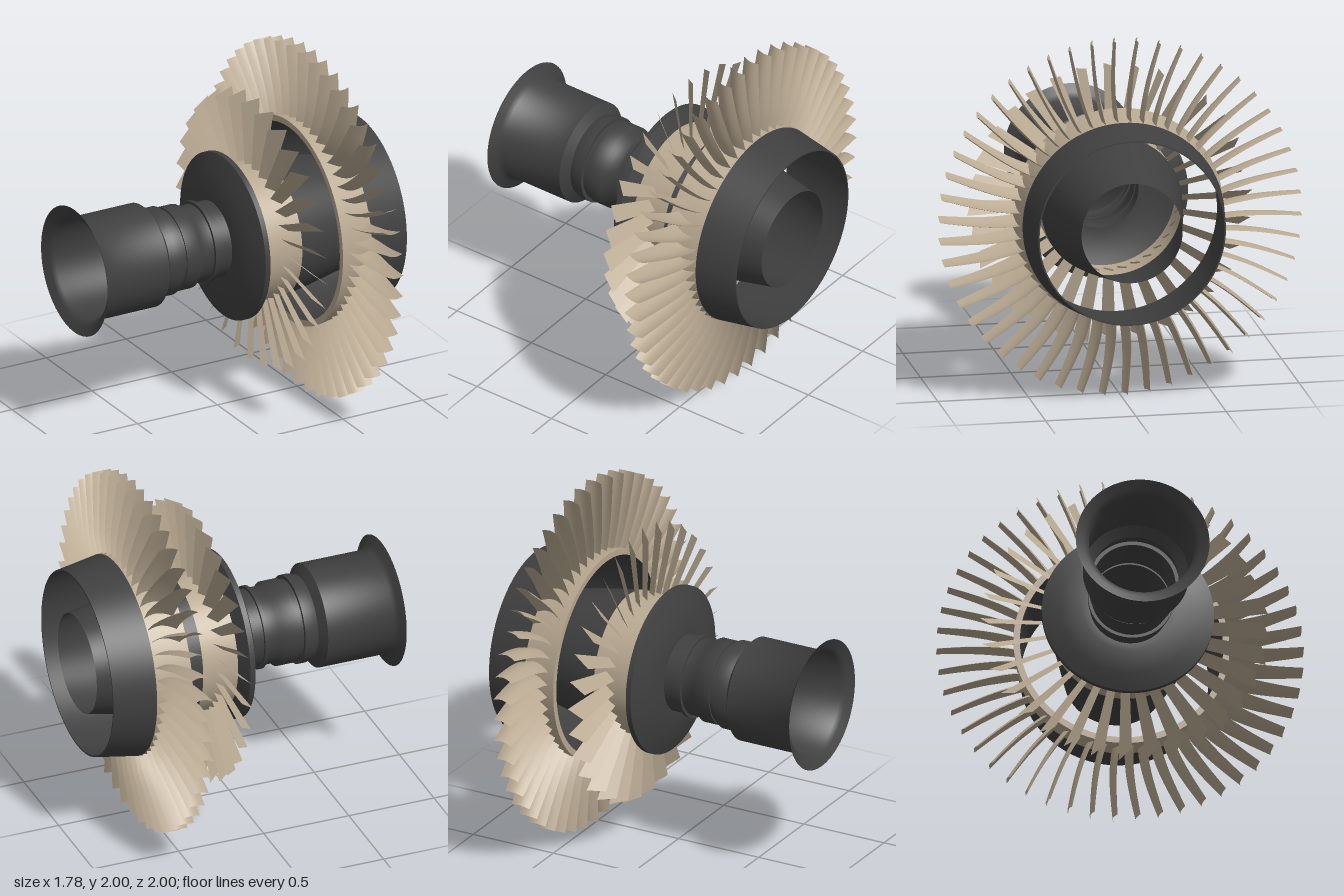
import * as THREE from 'three';
import { toCreasedNormals } from 'three/addons/utils/BufferGeometryUtils.js';

const dark = new THREE.MeshStandardMaterial({ color: 0x404040, side: THREE.DoubleSide });
const tan = new THREE.MeshStandardMaterial({ color: 0xb9a992, side: THREE.DoubleSide });
const { lerp } = THREE.MathUtils;

// Thin shell turned about the x axis; profile points are [x, radius]
function turned(name, profile, material) {
  const points = profile.map(([x, r]) => new THREE.Vector2(r, x));
  const geometry = new THREE.LatheGeometry(points, 96).rotateZ(-Math.PI / 2);
  const mesh = new THREE.Mesh(toCreasedNormals(geometry, 1.0), material);
  mesh.name = name;
  return mesh;
}

// Curved sheet standing along +y; shape(u, v) returns [x, y, z] for chord u and span v
function bladeGeometry(shape) {
  const geometry = new THREE.PlaneGeometry(1, 1, 6, 10);
  const pos = geometry.attributes.position;
  for (let i = 0; i < pos.count; i++) {
    pos.setXYZ(i, ...shape(pos.getX(i) + 0.5, pos.getY(i) + 0.5));
  }
  geometry.computeVertexNormals();
  return geometry;
}

// Equal blades around the x axis
function bladeRow(name, geometry, count, phase) {
  const row = new THREE.Group();
  row.name = name;
  for (let i = 0; i < count; i++) {
    const blade = new THREE.Mesh(geometry, tan);
    blade.name = name + 'Blade';
    blade.rotation.x = phase + (i / count) * Math.PI * 2;
    row.add(blade);
  }
  return row;
}

export function createModel() {
  const model = new THREE.Group();
  const rotor = new THREE.Group();
  rotor.name = 'rotor';
  rotor.position.y = 1;
  model.add(rotor);

  // Hollow shaft with flared mouth, collars and front disc
  rotor.add(turned('shaft', [
    [-0.895, 0.365], [-0.87, 0.32], [-0.85, 0.29], [-0.465, 0.29], [-0.43, 0.235],
    [-0.39, 0.247], [-0.35, 0.247], [-0.35, 0.226], [-0.32, 0.226], [-0.32, 0.235],
    [-0.23, 0.235], [-0.21, 0.215], [-0.14, 0.215], [-0.14, 0.232], [-0.12, 0.232],
    [-0.12, 0.215], [-0.03, 0.215],
  ], dark));
  rotor.add(turned('frontDisc', [
    [-0.03, 0.215], [-0.03, 0.26], [0, 0.38], [0.035, 0.47], [0.065, 0.47], [0.105, 0.39],
  ], dark));

  // Drum carrying the small blades, and the tapering hub behind it
  rotor.add(turned('drum', [[0.105, 0.39], [0.31, 0.39]], tan));
  rotor.add(turned('hubCone', [[0.31, 0.39], [0.45, 0.367], [0.89, 0.28]], dark));

  // Outer ring with front lip, then the tail shroud with its inner liner
  rotor.add(turned('fanRing', [[0.45, 0.555], [0.45, 0.59], [0.49, 0.585], [0.65, 0.56]], tan));
  rotor.add(turned('shroud', [
    [0.45, 0.555], [0.65, 0.54], [0.89, 0.512], [0.89, 0.52], [0.65, 0.56],
  ], dark));

  // Small blades: steep pitch, narrow root, slanted tip
  const small = bladeGeometry((u, v) => [
    lerp(lerp(0.183, 0.168, v), lerp(0.237, 0.246, v), u),
    lerp(0.38, 0.75 + 0.04 * u, v),
    (2 * u - 1) * lerp(0.022, 0.033, v),
  ]);
  rotor.add(bladeRow('smallFan', small, 32, 0));

  // Large blades: cambered, narrowing to the tip, gently bowed along the span
  const large = bladeGeometry((u, v) => {
    const trailing = 0.648 - 0.053 * Math.max(0, (v - 0.23) / 0.77);
    const camber = lerp(0.025, 0.014, v) * Math.sin(Math.PI * u);
    const bow = 0.014 * Math.sin(Math.PI * Math.pow(v, 0.8));
    return [
      lerp(0.49, trailing, u),
      lerp(0.58 - 0.022 * u, 1, v),
      (2 * u - 1) * lerp(0.013, 0.007, v) + camber + bow,
    ];
  });
  rotor.add(bladeRow('largeFan', large, 50, 0.025));

  return model;
}
